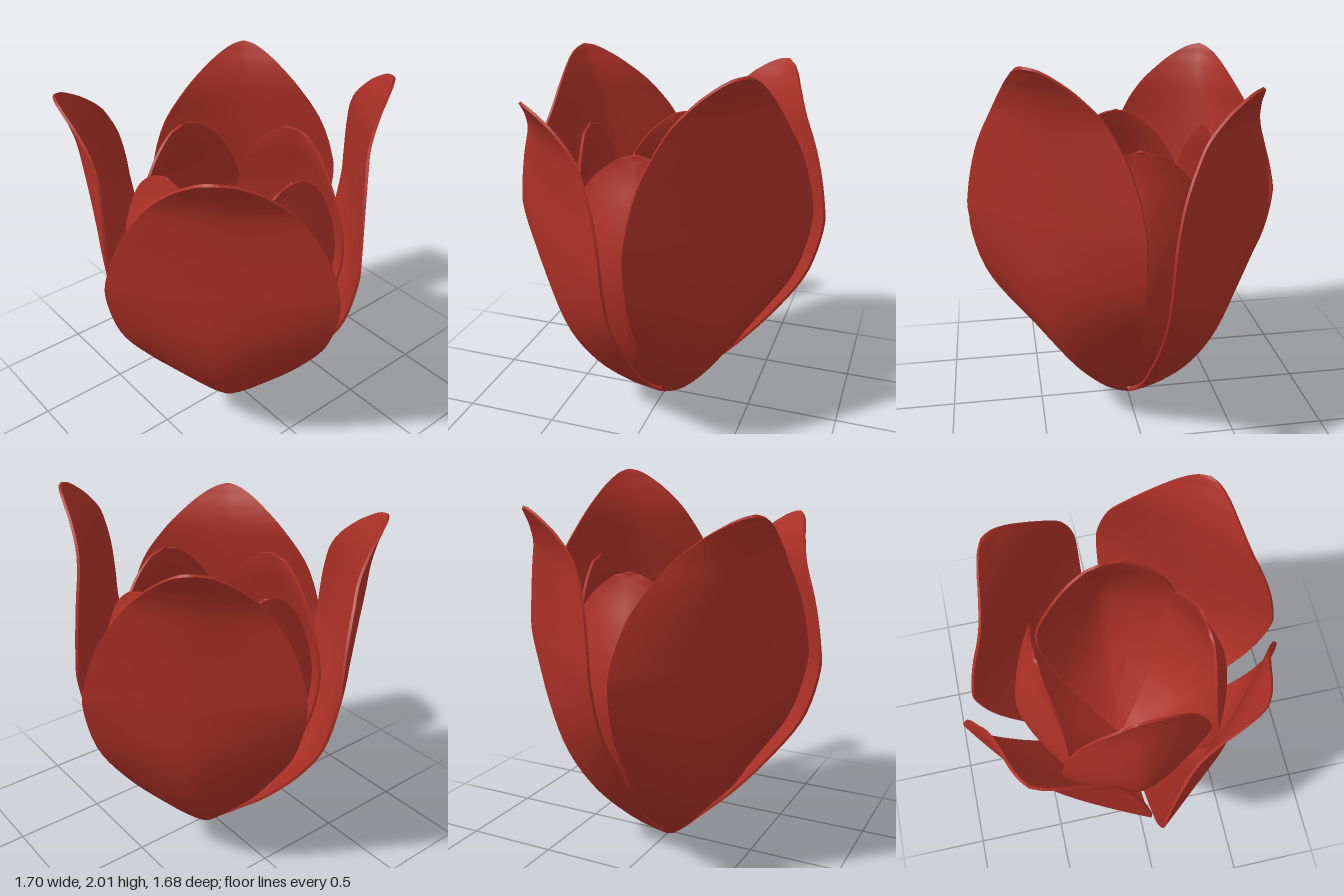
import * as THREE from 'three';
import { toCreasedNormals } from 'three/addons/utils/BufferGeometryUtils.js';

const COLS = 24, ROWS = 56;

// Petal stations from base to tip: [height, radius at midrib, radius at edge, half width]
const OUTER = [
  [0, 0.025, 0.02, 0.02], [0.04, 0.1, 0.075, 0.055], [0.15, 0.255, 0.175, 0.125],
  [0.32, 0.43, 0.295, 0.255], [0.55, 0.575, 0.435, 0.395], [0.80, 0.645, 0.56, 0.515],
  [1.05, 0.655, 0.615, 0.565], [1.2, 0.65, 0.62, 0.55], [1.4, 0.645, 0.62, 0.475],
  [1.58, 0.655, 0.63, 0.345], [1.69, 0.69, 0.675, 0.23], [1.755, 0.73, 0.72, 0.14],
  [1.79, 0.753, 0.75, 0.068], [1.8, 0.765, 0.765, 0.005],
];
const INNER = [
  [0.03, 0.03, 0.03, 0.025], [0.07, 0.08, 0.07, 0.065], [0.18, 0.21, 0.16, 0.155],
  [0.4, 0.415, 0.285, 0.285], [0.65, 0.535, 0.355, 0.37], [0.9, 0.585, 0.39, 0.415],
  [1.1, 0.57, 0.395, 0.4], [1.3, 0.52, 0.395, 0.325], [1.45, 0.465, 0.415, 0.22],
  [1.54, 0.44, 0.432, 0.11], [1.565, 0.435, 0.432, 0.055], [1.57, 0.435, 0.435, 0.005],
];

// Smooth interpolation through the stations
function sample(stations, v) {
  const f = v * (stations.length - 1);
  const i = Math.min(Math.floor(f), stations.length - 2), t = f - i;
  const at = k => stations[Math.max(0, Math.min(stations.length - 1, k))];
  return stations[0].map((_, c) => {
    const a = at(i - 1)[c], b = at(i)[c], d = at(i + 1)[c], e = at(i + 2)[c];
    const m0 = (d - a) / 2, m1 = (e - b) / 2;
    return b + m0 * t + (3 * (d - b) - 2 * m0 - m1) * t * t + (2 * (b - d) + m0 + m1) * t ** 3;
  });
}

// Thin curved petal shell facing +z, then turned by angle
function petalGeometry({ stations, angle, height, width = 1, tilt = 0, keel = 0, flare = 0, shift = 0 }) {
  const pos = [], index = [], n = COLS + 1, thick = 0.014;
  const top = stations[stations.length - 1][0];
  for (let j = 0; j <= ROWS; j++) {
    const [y, mid, edge, w] = sample(stations, j / ROWS);
    const k = Math.min(1, Math.max(0, y / top)), tip = k ** 5;
    const ridge = mid - edge + keel * k ** 4 * (1 - k);
    for (let i = 0; i <= COLS; i++) {
      const u = (i / COLS) * 2 - 1;
      const r = edge + ridge * (1 - Math.abs(u) ** 1.5) + flare * tip - tilt * u * Math.min(1, w / 0.4);
      pos.push(w * width * u + shift * tip, k * height, r);
    }
  }
  const quad = (a, b, c, d) => index.push(a, b, c, a, c, d);
  for (let j = 0; j < ROWS; j++)
    for (let i = 0; i < COLS; i++) {
      const a = j * n + i;
      quad(a, a + 1, a + 1 + n, a + n);
    }

  // Inner skin: the outer skin pushed back along its normals
  const skin = new THREE.BufferGeometry();
  skin.setAttribute('position', new THREE.Float32BufferAttribute(pos, 3));
  skin.setIndex(index.slice());
  skin.computeVertexNormals();
  const nor = skin.attributes.normal.array;
  const count = pos.length / 3;
  const all = pos.concat(pos.map((p, i) => p - nor[i] * thick));
  for (let i = 0, len = index.length; i < len; i += 3)
    index.push(index[i] + count, index[i + 2] + count, index[i + 1] + count);

  // Rim joining both skins
  const rim = (a, b) => quad(b, a, a + count, b + count);
  for (let j = 0; j < ROWS; j++) {
    rim((j + 1) * n, j * n);
    rim(j * n + COLS, (j + 1) * n + COLS);
  }
  for (let i = 0; i < COLS; i++) {
    rim(i, i + 1);
    rim(ROWS * n + i + 1, ROWS * n + i);
  }

  const geo = new THREE.BufferGeometry();
  geo.setAttribute('position', new THREE.Float32BufferAttribute(all, 3));
  geo.setIndex(index);
  geo.rotateY(angle);
  return toCreasedNormals(geo, 0.9);
}

export function createModel() {
  const group = new THREE.Group();
  group.name = 'flower';
  const red = new THREE.MeshStandardMaterial({ color: 0xab3026, side: THREE.DoubleSide });
  red.name = 'petal red';

  const add = (name, options) => {
    const mesh = new THREE.Mesh(petalGeometry(options), red);
    mesh.name = name;
    group.add(mesh);
  };

  // Four large outer petals on the diagonals
  const q = Math.PI / 4;
  add('outerPetalFrontLeft', { stations: OUTER, angle: q, height: 1.8 });
  add('outerPetalBackLeft', { stations: OUTER, angle: 3 * q, height: 2, width: 0.95, tilt: 0.03, keel: 0.2 });
  add('outerPetalBackRight', { stations: OUTER, angle: 5 * q, height: 1.87, width: 0.945, tilt: 0.04, shift: 0.02, keel: 0.2 });
  add('outerPetalFrontRight', {
    stations: OUTER, angle: -q, height: 1.88, width: 0.94, tilt: 0.06, keel: 1.2, flare: 0.11, shift: 0.1,
  });

  // Four smaller inner petals between them
  ['Front', 'Left', 'Back', 'Right'].forEach((side, i) =>
    add('innerPetal' + side, { stations: INNER, angle: i * 2 * q, height: 1.57, tilt: 0.035 }));

  return group;
}
